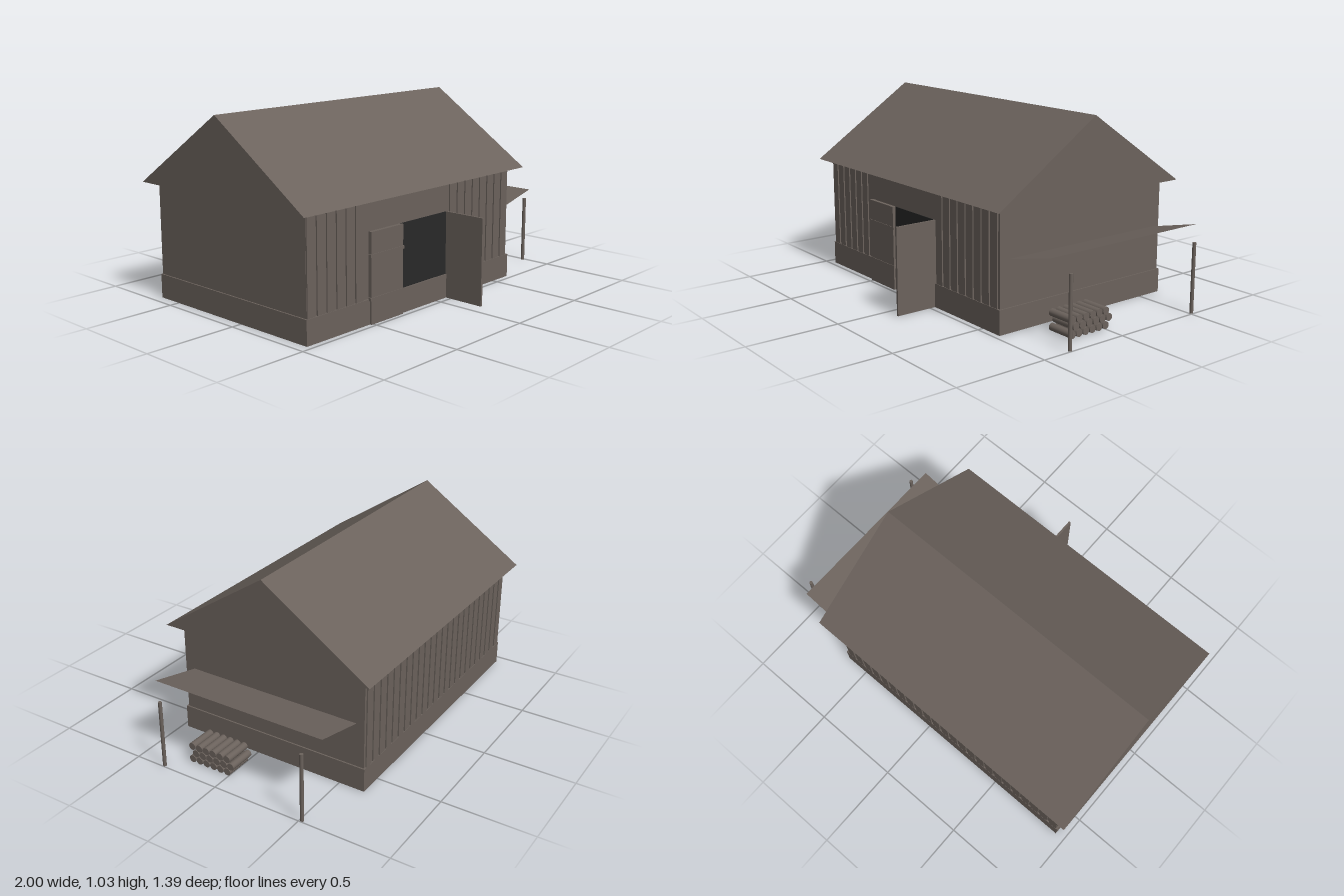
import * as THREE from 'three';

export function createModel() {
  const barn = new THREE.Group();
  barn.name = 'barn';
  const timber = new THREE.MeshStandardMaterial({ color: 0x6b625c });
  timber.name = 'weathered timber';
  const canopyTimber = new THREE.MeshStandardMaterial({ color: 0x6b625c, side: THREE.DoubleSide });
  canopyTimber.name = 'canopy timber';
  const dark = new THREE.MeshStandardMaterial({ color: 0x282828 });
  dark.name = 'dark interior';

  const add = (name, geometry, material = timber, parent = barn) => {
    const mesh = new THREE.Mesh(geometry, material);
    mesh.name = name;
    parent.add(mesh);
    return mesh;
  };
  // Box given by its minimum and maximum on each axis
  const box = (name, x0, x1, y0, y1, z0, z1, material, parent) =>
    add(name, new THREE.BoxGeometry(x1 - x0, y1 - y0, z1 - z0), material, parent)
      .position.set((x0 + x1) / 2, (y0 + y1) / 2, (z0 + z1) / 2);
  const group = (name) => {
    const g = new THREE.Group();
    g.name = name;
    barn.add(g);
    return g;
  };

  // Base and walls
  box('base', -0.945, 0.633, 0, 0.13, -0.643, 0.47);
  box('walls', -0.937, 0.625, 0.13, 0.63, -0.635, 0.46);

  // Solid gabled roof, extruded along x
  const gable = new THREE.Shape([
    new THREE.Vector2(-0.52, 0.63),
    new THREE.Vector2(0.695, 0.63),
    new THREE.Vector2(0.09, 1.035),
  ]);
  const roof = new THREE.ExtrudeGeometry(gable, { depth: 1.69, bevelEnabled: false });
  roof.rotateY(Math.PI / 2); // shape x becomes -z
  roof.translate(-1, 0, 0);
  add('roof', roof);

  // Vertical boards on the front and back, leaving out the doorway
  const boards = group('boards');
  const pitch = 0.065;
  for (let i = 0; i < 24; i++) {
    const x0 = -0.935 + i * pitch, x1 = x0 + 0.05;
    box('backBoard', x0, x1, 0.13, 0.612, -0.642, -0.634, timber, boards);
    if (x1 < -0.5 || x0 > 0.08) box('frontBoard', x0, x1, 0.13, 0.612, 0.459, 0.467, timber, boards);
  }

  // Doorway, closed left leaf with rails, and right leaf swung open
  box('doorway', -0.285, 0.082, 0.13, 0.47, 0.458, 0.463, dark);
  box('closedDoor', -0.515, -0.282, 0, 0.47, 0.46, 0.48);
  for (const y of [0.13, 0.35]) box('doorRail', -0.522, -0.275, y - 0.008, y + 0.008, 0.465, 0.483);
  box('openDoor', 0.08, 0.092, 0, 0.47, 0.46, 0.7);

  // Thin canopy on the side, rising outwards
  const canopy = new THREE.PlaneGeometry(Math.hypot(0.305, 0.075), 0.995);
  canopy.rotateX(-Math.PI / 2);
  canopy.rotateZ(Math.atan2(0.075, 0.305));
  add('canopy', canopy, canopyTimber).position.set(0.7775, 0.4125, -0.0925);

  // Canopy posts
  for (const z of [0.333, -0.513]) {
    add('post', new THREE.CylinderGeometry(0.01, 0.01, 0.378, 10)).position.set(0.988, 0.189, z);
  }

  // Stack of logs
  const logs = group('logPile');
  const log = new THREE.CylinderGeometry(0.02, 0.02, 0.152, 14);
  log.rotateZ(Math.PI / 2);
  for (let row = 0; row < 3; row++) {
    for (let i = 0; i < 6; i++) {
      add('log', log, timber, logs)
        .position.set(0.815, 0.024 + row * 0.0375, 0.226 - i * 0.044 - (row % 2) * 0.022);
    }
  }
  return barn;
}
